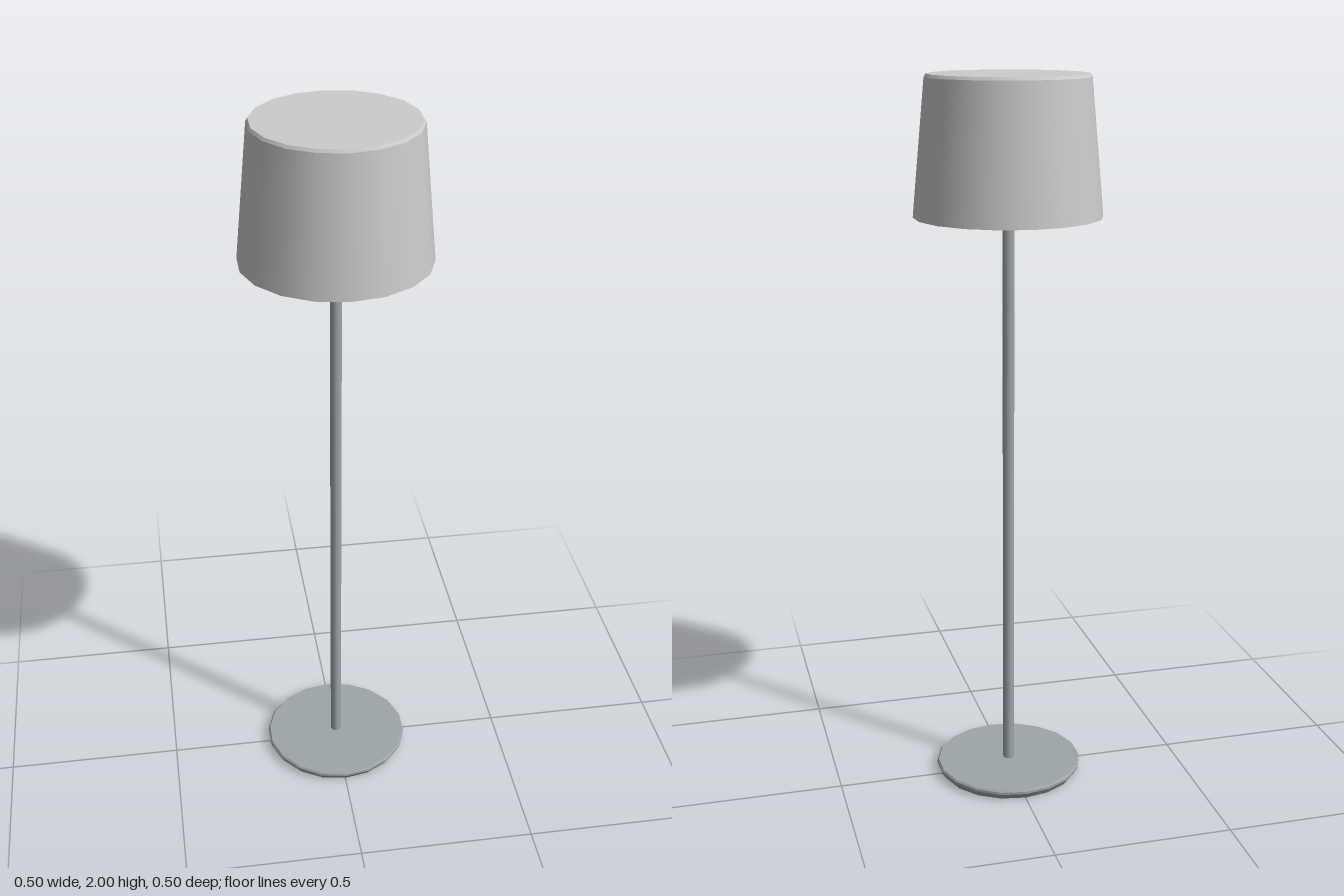
import * as THREE from 'three';

const SIDES = 18;
const grey = new THREE.MeshStandardMaterial({ color: 0xcccccc });
const metal = new THREE.MeshStandardMaterial({ color: 0x9ea6aa });

// Stack of smooth bands with sharp edges between them; profile is [radius, y] from bottom to top
function turned(name, profile, sides, material) {
  const group = new THREE.Group();
  group.name = name;
  for (let i = 0; i < profile.length - 1; i++) {
    const [r0, y0] = profile[i];
    const [r1, y1] = profile[i + 1];
    const band = new THREE.Mesh(new THREE.CylinderGeometry(r1, r0, y1 - y0, sides, 1, true), material);
    band.position.y = (y0 + y1) / 2;
    band.name = name + 'Side';
    group.add(band);
  }
  return group;
}

// Flat ring or disc facing up (dir 1) or down (dir -1), lined up with the bands
function cap(name, inner, outer, y, dir, sides, material) {
  const geometry = inner > 0
    ? new THREE.RingGeometry(inner, outer, sides, 1, Math.PI / 2)
    : new THREE.CircleGeometry(outer, sides, Math.PI / 2);
  const mesh = new THREE.Mesh(geometry, material);
  mesh.rotation.x = -dir * Math.PI / 2;
  mesh.position.y = y;
  mesh.name = name;
  return mesh;
}

export function createModel() {
  const lamp = new THREE.Group();
  lamp.name = 'floorLamp';

  // Round foot with a bevelled lower edge
  const base = turned('base', [[0.195, 0], [0.207, 0.018], [0.207, 0.025], [0.203, 0.03]], SIDES, metal);
  base.add(cap('baseTop', 0, 0.203, 0.03, 1, SIDES, metal));
  base.add(cap('baseBottom', 0, 0.195, 0, -1, SIDES, metal));

  // Thin pole and the collar under the shade
  const pole = turned('pole', [[0.016, 0.03], [0.016, 1.61]], 10, metal);
  const collar = turned('collar', [[0.027, 1.605], [0.027, 1.63]], 10, metal);
  collar.add(cap('collarBottom', 0, 0.027, 1.605, -1, 10, metal));

  // Tapered closed shade with a narrow bevel at the top and a diffuser below
  const shade = turned('shade', [[0.25, 1.63], [0.216, 1.992], [0.211, 2]], SIDES, grey);
  shade.add(cap('shadeTop', 0, 0.211, 2, 1, SIDES, grey));
  shade.add(cap('shadeBottomRim', 0.2, 0.25, 1.63, -1, SIDES, grey));
  shade.add(cap('diffuser', 0, 0.2, 1.63, -1, SIDES, metal));

  // The round parts are very slightly wider than deep
  base.scale.x = shade.scale.x = 1.018;

  lamp.add(base, pole, collar, shade);
  return lamp;
}
